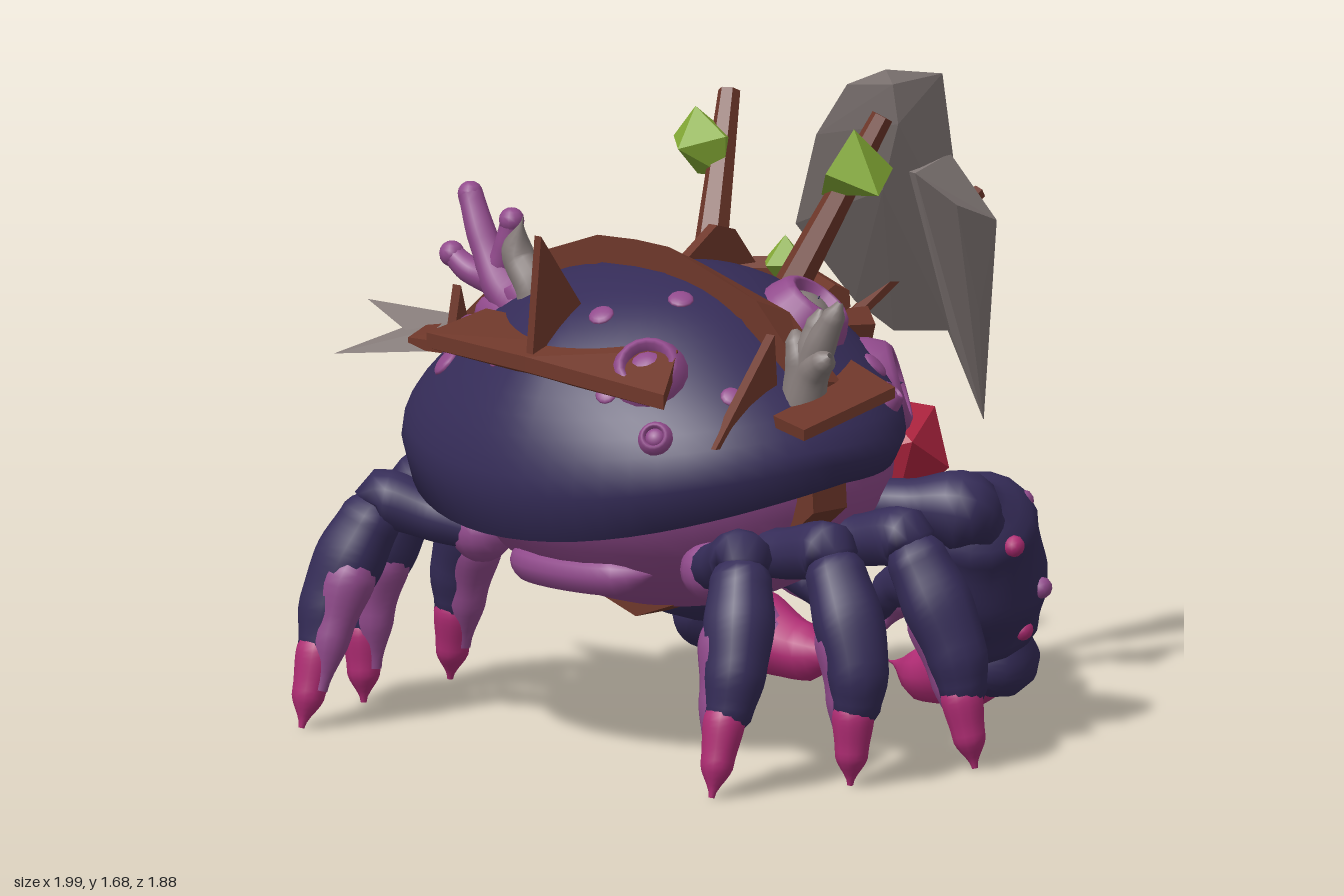
import * as THREE from 'three';
import { mergeVertices } from 'three/addons/utils/BufferGeometryUtils.js';
import { ConvexGeometry } from 'three/addons/geometries/ConvexGeometry.js';

const V = (p) => new THREE.Vector3(...p);
const mix = (a, b, t) => a.map((v, i) => v + (b[i] - v) * t);
const mat = (name, color) => Object.assign(new THREE.MeshStandardMaterial({ color }), { name });

export function createModel() {
  const root = new THREE.Group();
  root.name = 'crab';
  const indigo = mat('indigo shell', 0x352c58), purple = mat('purple flesh', 0x914a8c);
  const magenta = mat('magenta tips', 0xb02c74), brown = mat('brown wood', 0x6e372a);
  const grey = mat('grey stone', 0x857b79), green = mat('green leaf', 0x86ad36), red = mat('red gem', 0xb0243f);

  function add(name, geo, material, pos = [0, 0, 0]) {
    const m = new THREE.Mesh(geo, material);
    m.name = name;
    m.position.set(...pos);
    root.add(m);
    return m;
  }
  function smooth(geo) {
    geo.deleteAttribute('uv');
    geo.deleteAttribute('normal');
    const g = mergeVertices(geo, 1e-5);
    g.computeVertexNormals();
    return g;
  }
  // Round limb through points, with a radius at each point
  function limb(name, material, pts, radii, s = 1, seg = 18, sides = 12) {
    const curve = new THREE.CatmullRomCurve3(pts.map(([x, y, z]) => new THREE.Vector3(x * s, y, z)));
    const geo = new THREE.TubeGeometry(curve, seg, 1, sides);
    const pos = geo.attributes.position, v = new THREE.Vector3();
    for (let i = 0; i < pos.count; i++) {
      const u = Math.floor(i / (sides + 1)) / seg, c = curve.getPointAt(u);
      const f = curve.getUtoTmapping(u) * (radii.length - 1), k = Math.min(Math.floor(f), radii.length - 2);
      const r = THREE.MathUtils.lerp(radii[k], radii[k + 1], THREE.MathUtils.smoothstep(f - k, 0, 1));
      v.fromBufferAttribute(pos, i).sub(c).multiplyScalar(Math.max(r, 0.001)).add(c);
      pos.setXYZ(i, v.x, v.y, v.z);
    }
    return add(name, smooth(geo), material);
  }
  const shard = (name, material, pts) => add(name, new ConvexGeometry(pts.map(V)), material);

  // Domed shell: rim low in front and raised behind, sides flaring out
  const rimY = (s) => (s > 0 ? 0.84 - 0.1 * s * s : 0.84 + 0.14 * s ** 4);
  const pinch = (a, c) => 1 - 0.15 * Math.abs(c) * Math.sin(2 * a) ** 2;
  const shell = new THREE.SphereGeometry(1, 56, 20);
  const sp = shell.attributes.position, uv = shell.attributes.uv;
  for (let i = 0; i < sp.count; i++) {
    const az = uv.getX(i) * Math.PI * 2, t = 1 - uv.getY(i), c = -Math.cos(az), s = Math.sin(az);
    const rim = rimY(s), low = rim - 0.06 - 0.06 * Math.max(s, 0);
    let r, y;
    if (t < 0.81) {
      const a = (t / 0.8) * Math.PI / 2;
      r = Math.sin(a) * pinch(a, c);
      y = rim + (1.29 - rim) * Math.cos(a);
    } else {
      r = [0.96, 0.88, 0.6, 0][Math.min(3, Math.round((t - 0.85) * 20))];
      y = THREE.MathUtils.lerp(0.8, low, Math.min(1, r / 0.88));
    }
    sp.setXYZ(i, 0.73 * r * c, y, 0.33 + 0.6 * r * s);
  }
  add('shell', smooth(shell), indigo);
  const shellAt = (x, z) => {
    const u = x / 0.73, w = (z - 0.33) / 0.6, r = Math.hypot(u, w) || 1e-4, rim = rimY(w / r);
    let a = r;
    for (let i = 0; i < 12; i++) a = Math.asin(Math.min(1, r / pinch(a, u / r)));
    return new THREE.Vector3(x, rim + (1.29 - rim) * Math.cos(a), z);
  };
  const shellNormal = (x, z) => {
    const e = 0.01, p = shellAt(x, z);
    return new THREE.Vector3(p.y - shellAt(x + e, z).y, e, p.y - shellAt(x, z + e).y).normalize();
  };

  // Underbody and mouth ridge
  add('underbody', new THREE.SphereGeometry(1, 40, 24), purple, [0, 0.78, 0.25]).scale.set(0.62, 0.42, 0.55);
  limb('mouthRidge', purple, [[-0.28, 0.52, 0.58], [-0.15, 0.5, 0.64], [0.15, 0.5, 0.64], [0.28, 0.52, 0.58]], [0, 0.055, 0.055, 0]);

  // Barnacles: domed cones with a hollow and a small core
  function barnacle(p, n, r, hollow, core) {
    const prof = [[1.15, -0.4], [1.02, 0.1], [0.85, 0.42], [0.72, 0.52], [0.62, 0.5], [0.54, 0.25]].map(([a, b]) => new THREE.Vector2(a * r, b * r));
    const parts = [add('barnacle', new THREE.LatheGeometry(prof, 18), purple)];
    parts.push(add('barnacleHollow', new THREE.SphereGeometry(r * 0.62, 14, 8), hollow));
    parts[1].scale.y = 0.75;
    if (core) parts.push(add('barnacleCore', new THREE.ConeGeometry(r * 0.34, r * 1.1, 12), core));
    for (const m of parts) {
      m.position.copy(p);
      m.quaternion.setFromUnitVectors(new THREE.Vector3(0, 1, 0), n);
    }
  }
  for (const [x, z, r, hollow, core] of [
    [0.32, 0.69, 0.1, purple], [0.37, 0.13, 0.12, grey, indigo], [-0.42, 0.62, 0.07, indigo], [0.42, 0.77, 0.045, purple],
    [0.6, 0.18, 0.04, purple], [0.6, 0.05, 0.04, purple], [-0.32, 0.5, 0.06, purple]])
    barnacle(shellAt(x, z), shellNormal(x, z), r, hollow, core);
  barnacle(V([0.38, 0.93, -0.13]), V([0.7, 0.28, -0.65]).normalize(), 0.14, grey, indigo);
  for (const [x, z, r] of [[-0.48, 0.14, 0.05], [-0.44, 0.21, 0.06], [-0.5, 0.22, 0.045], [-0.38, -0.1, 0.04]])
    add('greyBarnacle', new THREE.SphereGeometry(r, 12, 8), grey, shellAt(x, z).toArray());

  // Flat round spots on the shell
  for (const [x, z, r] of [[0.1, 0.64, 0.035], [0.25, 0.78, 0.03], [-0.42, 0.69, 0.045], [-0.53, 0.47, 0.06], [0.24, 0.48, 0.035],
    [0.55, 0.3, 0.04], [-0.15, 0.78, 0.025], [0.48, -0.02, 0.04], [-0.3, 0.06, 0.06], [0.1, -0.12, 0.04], [0.52, 0.58, 0.03]]) {
    const m = add('shellSpot', new THREE.SphereGeometry(r, 12, 8), purple, shellAt(x, z).toArray());
    m.scale.y = 0.35;
    m.quaternion.setFromUnitVectors(new THREE.Vector3(0, 1, 0), shellNormal(x, z));
  }

  // Walking legs: hip, knee, shin, foot
  const legs = [
    [[0.4, 0.54, 0.55], [0.66, 0.61, 0.69], [0.74, 0.37, 0.79], [0.75, 0.01, 0.89]],
    [[0.42, 0.57, 0.43], [0.76, 0.61, 0.45], [0.9, 0.35, 0.49], [0.89, 0.01, 0.5]],
    [[0.42, 0.57, 0.2], [0.76, 0.61, 0.15], [0.9, 0.35, 0.12], [0.96, 0.01, 0.09]]];
  for (const s of [1, -1]) {
    for (const [hip, knee, shin, foot] of legs) {
      add('hipSocket', new THREE.SphereGeometry(0.085, 16, 10), purple, [hip[0] * s * 1.05, hip[1], hip[2]]);
      limb('legHip', indigo, [hip, mix(hip, knee, 0.5), knee, mix(knee, shin, 0.2)], [0.06, 0.07, 0.085, 0], s);
      limb('legShin', indigo, [mix(knee, shin, -0.25), mix(knee, shin, 0.2), mix(knee, shin, 0.65), mix(shin, foot, 0.1), mix(shin, foot, 0.4), mix(shin, foot, 0.62)],
        [0, 0.085, 0.098, 0.085, 0.066, 0.01], s, 24);
      limb('legTip', magenta, [mix(shin, foot, 0.2), mix(shin, foot, 0.45), mix(shin, foot, 0.75), foot].map(([x, y, z]) => [x, y, z + 0.012]), [0.03, 0.058, 0.046, 0.008], s);
      const inner = (p) => [p[0] - 0.035, p[1], p[2] + 0.008];
      limb('legInnerPatch', purple, [mix(knee, shin, 0.3), mix(knee, shin, 0.85), mix(shin, foot, 0.3), mix(shin, foot, 0.72)].map(inner), [0.02, 0.078, 0.055, 0.02], s);
    }

    // Pincer arm with palm and two fingers
    limb('clawArm', indigo, [[0.38, 0.64, 0.02], [0.57, 0.65, -0.05], [0.69, 0.64, -0.14], [0.72, 0.58, -0.22]], [0.07, 0.075, 0.11, 0.05], s);
    limb('clawPalm', indigo, [[0.71, 0.7, -0.18], [0.64, 0.59, -0.26], [0.54, 0.42, -0.34], [0.49, 0.28, -0.4], [0.46, 0.13, -0.45]], [0.03, 0.155, 0.2, 0.17, 0.03], s, 24, 16);
    limb('clawFingerBase', indigo, [[0.6, 0.3, -0.42], [0.52, 0.19, -0.45], [0.42, 0.145, -0.47]], [0.04, 0.12, 0.07], s);
    limb('clawLowerFinger', magenta, [[0.54, 0.22, -0.47], [0.4, 0.14, -0.485], [0.23, 0.095, -0.495], [0.07, 0.11, -0.5]], [0.06, 0.108, 0.08, 0], s);
    limb('clawFingerPatch', purple, [[0.5, 0.21, -0.42], [0.38, 0.16, -0.45], [0.24, 0.13, -0.47]], [0.06, 0.09, 0.03], s);
    limb('clawUpperFinger', indigo, [[0.46, 0.42, -0.38], [0.3, 0.37, -0.41], [0.16, 0.32, -0.43], [0.06, 0.18, -0.44]], [0.13, 0.09, 0.06, 0], s);
    limb('clawInnerPatch', purple, [[0.34, 0.34, -0.43], [0.2, 0.31, -0.45], [0.1, 0.21, -0.46]], [0.05, 0.055, 0.01], s);
    for (const [x, y, z, m] of [[0.77, 0.54, -0.25, magenta], [0.7, 0.64, -0.36, purple], [0.72, 0.4, -0.41, purple], [0.66, 0.28, -0.4, magenta], [0.5, 0.58, -0.42, purple], [0.42, 0.54, -0.43, purple]])
      add('clawWart', new THREE.IcosahedronGeometry(0.03, 1), m, [s * x, y, z]);
  }

  // Wooden strap round the shell, front edge flaring up, with a worn grey plate on one side
  const outer = [[-0.64, 0.7], [-0.63, 1.08], [-0.42, 1.26], [-0.14, 1.355], [0, 1.36], [0.12, 1.355], [0.44, 1.25], [0.63, 1.06], [0.65, 0.7], [0.35, 0.46], [0, 0.34], [-0.35, 0.46]];
  const hoop = new THREE.Shape(outer.map((p) => new THREE.Vector2(...p)));
  hoop.holes.push(new THREE.Path(outer.map(([x, y]) => new THREE.Vector2(x * 0.88, 0.84 + (y - 0.84) * 0.86))));
  const strap = new THREE.ExtrudeGeometry(hoop, { depth: 0.13, bevelEnabled: false }), hp = strap.attributes.position;
  const rearDrop = (y) => (y > 0.84 ? 0.84 + (y - 0.84) * 0.88 : y);
  for (let i = 0; i < hp.count; i++) if (hp.getZ(i) < 0.01) hp.setY(i, rearDrop(hp.getY(i)));
  strap.computeVertexNormals();
  add('strap', strap, brown, [0, 0, 0.27]);
  const edge = (z, lift) => outer.slice(1, 5).map(([x, y]) => [x, THREE.MathUtils.lerp(rearDrop(y), y, (z - 0.27) / 0.13) + lift, z]);
  const [rear, front] = [edge(0.28, 0.005), edge(0.355, 0.005)];
  for (let i = 0; i < 3; i++)
    shard('strapPlate', grey, [rear[i], rear[i + 1], front[i], front[i + 1]].flatMap(([x, y, z]) => [[x, y, z], [x, y - 0.009, z]]));

  // Broken planks and upright splinters
  const plank = (name, corners, t) => shard(name, brown, corners.flatMap(([x, y, z]) => [[x, y, z], [x, y - t, z]]));
  plank('frontPlank', [[-0.34, 1.16, 0.62], [0.38, 1.14, 0.64], [0.47, 1.05, 0.79], [0, 1.1, 0.83], [-0.36, 1.12, 0.83]], 0.04);
  plank('leftPlank', [[0.5, 1.06, 0.1], [0.91, 1.07, 0.36], [0.87, 0.99, 0.67], [0.5, 0.97, 0.45]], 0.03);
  plank('rightPlank', [[-0.5, 1.07, 0.28], [-0.76, 1.05, 0.36], [-0.72, 1.02, 0.52], [-0.5, 1.02, 0.5]], 0.03);
  shard('rightForkRear', grey, [[-0.66, 1.06, 0.34], [-1, 1.07, 0.38], [-0.7, 1.01, 0.5], [-0.66, 1, 0.38]]);
  shard('rightForkFront', grey, [[-0.66, 1.05, 0.38], [-0.85, 0.98, 0.67], [-0.8, 1.03, 0.44], [-0.64, 0.99, 0.5]]);
  const splinter = (x, t, pts) => shard('splinter', brown, [...pts.map(([y, z]) => [x - t, y, z]), ...pts.map(([y, z]) => [x + t, y, z])]);
  splinter(0, 0.012, [[1.42, 0.78], [1.16, 0.58], [1.03, 0.82]]);
  splinter(0, 0.015, [[1.25, 0.27], [1.36, 0.1], [1.34, 0.03], [1.24, -0.05]]);
  splinter(0.55, 0.015, [[1.18, 0.46], [0.9, 0.44], [0.9, 0.69]]);
  splinter(-0.56, 0.015, [[1.18, 0.5], [0.9, 0.42], [0.88, 0.56]]);

  // Driftwood frame behind, with leafy posts
  function stick(name, a, b, r0, r1) {
    const d = V(b).sub(V(a)), m = add(name, new THREE.CylinderGeometry(r1, r0, d.length(), 6).toNonIndexed(), brown, mix(a, b, 0.5));
    m.geometry.computeVertexNormals();
    m.quaternion.setFromUnitVectors(new THREE.Vector3(0, 1, 0), d.normalize());
  }
  for (const s of [1, -1]) {
    stick('post', [s * 0.14, 1.15, -0.02], [s * 0.28, 1.64, -0.26], 0.05, 0.03);
    stick('frameLog', [s * 0.3, 1.17, -0.06], [0, 1.19, -0.2], 0.045, 0.045);
  }
  shard('leftPostLeaf', green, [[0.28, 1.62, -0.15], [0.17, 1.43, -0.14], [0.37, 1.45, -0.15], [0.27, 1.51, -0.05], [0.3, 1.5, -0.28], [0.19, 1.46, -0.24]]);
  shard('rightPostLeaf', green, [[-0.3, 1.61, -0.15], [-0.38, 1.52, -0.15], [-0.19, 1.54, -0.15], [-0.32, 1.42, -0.18], [-0.21, 1.43, -0.17], [-0.27, 1.51, -0.05], [-0.27, 1.51, -0.27]]);
  stick('frameStub', [0.2, 1.08, -0.08], [0.24, 1.07, -0.23], 0.05, 0.06);
  add('smallLeaf', new THREE.OctahedronGeometry(0.075), green, [0, 1.22, -0.18]);

  // Large blade on a handle, with a hanging gem
  const rim = [[1.32, -0.22], [1.55, -0.3], [1.67, -0.42], [1.69, -0.57], [1.65, -0.79], [1.43, -0.82], [1.15, -0.88], [0.95, -0.82], [0.98, -0.6], [1.08, -0.45], [1.25, -0.32]];
  shard('blade', grey, [...rim.map(([y, z]) => [0, y, z]),
    ...[1, -1].flatMap((s) => [[s * 0.035, 1.655, -0.56], [s * 0.055, 1.55, -0.56], [s * 0.055, 1.38, -0.5], [s * 0.03, 1.2, -0.6]])]);
  shard('bladeSpike', grey, [[0, 1.42, -0.6], [0, 1.43, -0.82], [0, 1.27, -0.94], [0, 0.69, -0.95], [0, 0.95, -0.82],
    ...[1, -1].flatMap((s) => [[s * 0.06, 1.41, -0.62], [s * 0.09, 1.31, -0.75], [s * 0.095, 1.25, -0.9], [s * 0.05, 1.0, -0.88]])]);
  stick('bladeHandle', [0, 0.9, -0.2], [0, 1.31, -0.93], 0.022, 0.022);
  add('gem', new THREE.IcosahedronGeometry(0.16), red, [0, 0.66, -0.6]).rotation.x = -0.5536;

  // Branching coral, kelp and finger sponge
  limb('coralStem', purple, [[-0.28, 1.13, 0.5], [-0.38, 1.19, 0.5], [-0.46, 1.31, 0.5], [-0.52, 1.43, 0.49]], [0.07, 0.06, 0.042, 0.035]);
  limb('coralBranch', purple, [[-0.42, 1.22, 0.5], [-0.38, 1.3, 0.5], [-0.36, 1.38, 0.5]], [0.045, 0.036, 0.03]);
  limb('coralTwig', purple, [[-0.41, 1.21, 0.5], [-0.49, 1.23, 0.52], [-0.55, 1.27, 0.53]], [0.045, 0.036, 0.03]);
  add('coralBase', new THREE.SphereGeometry(0.1, 16, 10), purple, [-0.36, 1.12, 0.5]).scale.set(1.2, 0.7, 0.7);
  for (const [x, y, z] of [[-0.52, 1.43, 0.49], [-0.36, 1.38, 0.5], [-0.55, 1.27, 0.53]])
    add('coralTip', new THREE.SphereGeometry(0.035, 12, 8), purple, [x, y, z]);
  limb('kelp', grey, [[-0.25, 1.12, 0.52], [-0.25, 1.21, 0.53], [-0.31, 1.3, 0.53], [-0.27, 1.41, 0.55]], [0.06, 0.05, 0.045, 0]);
  [[0.58, 1.19, 0.4], [0.65, 1.25, 0.37], [0.73, 1.28, 0.38], [0.73, 1.14, 0.42]].forEach((tip) =>
    limb('spongeFinger', grey, [[0.6, 0.95, 0.4], mix([0.62, 1.06, 0.4], tip, 0.35), mix([0.62, 1.06, 0.4], tip, 0.8), tip], [0.06, 0.045, 0.032, 0.008]));

  return root;
}
